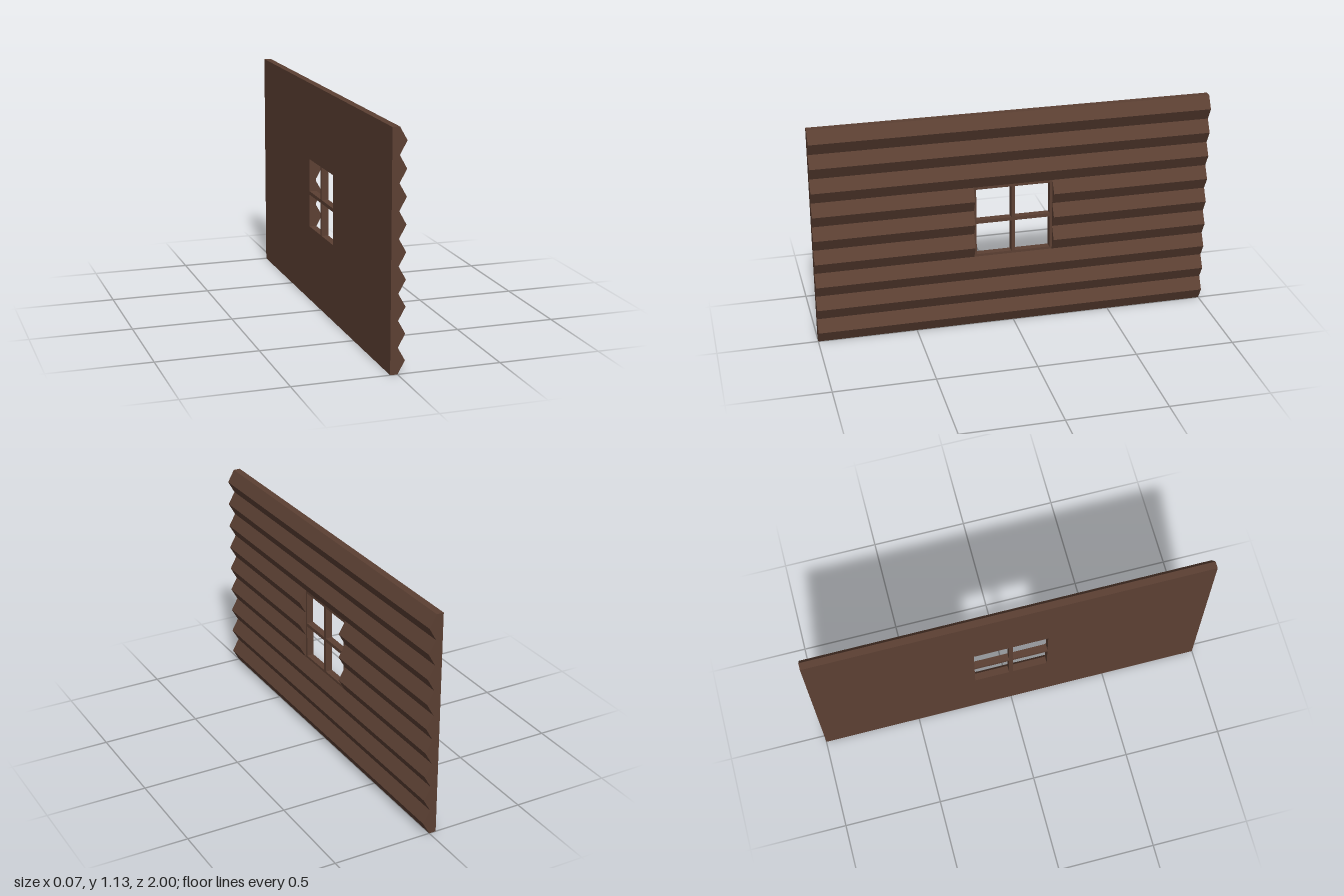
import * as THREE from 'three';

const PITCH = 1.13 / 9;   // height of one log course
const BACK = -0.035, VALLEY = 0, RIDGE = 0.035;
const HALF = 0.2;         // half width of the window opening

// A run of log courses between two z positions
function logCourses(name, first, last, z0, z1, material) {
  const shape = new THREE.Shape();
  shape.moveTo(BACK, first * PITCH);
  shape.lineTo(VALLEY, first * PITCH);
  for (let i = first; i < last; i++) {
    shape.lineTo(RIDGE, (i + 0.5) * PITCH);
    shape.lineTo(VALLEY, (i + 1) * PITCH);
  }
  shape.lineTo(BACK, last * PITCH);
  shape.closePath();
  const geometry = new THREE.ExtrudeGeometry(shape, { depth: z1 - z0, bevelEnabled: false });
  const mesh = new THREE.Mesh(geometry, material);
  mesh.position.z = z0;
  mesh.name = name;
  return mesh;
}

export function createModel() {
  const group = new THREE.Group();
  group.name = 'logWall';
  const wood = new THREE.MeshStandardMaterial({ color: 0x5c4033 });
  wood.name = 'brown wood';

  // Wall around the opening
  group.add(
    logCourses('lowerWall', 0, 3, -1, 1, wood),
    logCourses('wallBesideWindowFront', 3, 6, HALF, 1, wood),
    logCourses('wallBesideWindowBack', 3, 6, -1, -HALF, wood),
    logCourses('upperWall', 6, 9, -1, 1, wood),
  );

  // Window frame and glazing bars, set in the back half of the wall
  const windowFrame = new THREE.Group();
  windowFrame.name = 'windowFrame';
  const bottom = 3 * PITCH, top = 6 * PITCH, middle = (bottom + top) / 2;
  const depth = VALLEY - BACK, border = 0.013;
  const bar = (name, height, width, y, z) => {
    const mesh = new THREE.Mesh(new THREE.BoxGeometry(depth, height, width), wood);
    mesh.position.set((BACK + VALLEY) / 2, y, z);
    mesh.name = name;
    windowFrame.add(mesh);
  };
  for (const s of [-1, 1]) {
    bar('frameStile', top - bottom, border, middle, s * (HALF - border / 2));
    bar('frameRail', border, 2 * (HALF - border), middle + s * ((top - bottom) / 2 - border / 2), 0);
  }
  bar('verticalBar', top - bottom - 2 * border, 0.02, middle, 0);
  for (const s of [-1, 1]) {
    bar('horizontalBar', 0.018, HALF - border - 0.01, middle, s * (HALF - border + 0.01) / 2);
  }
  group.add(windowFrame);
  return group;
}
